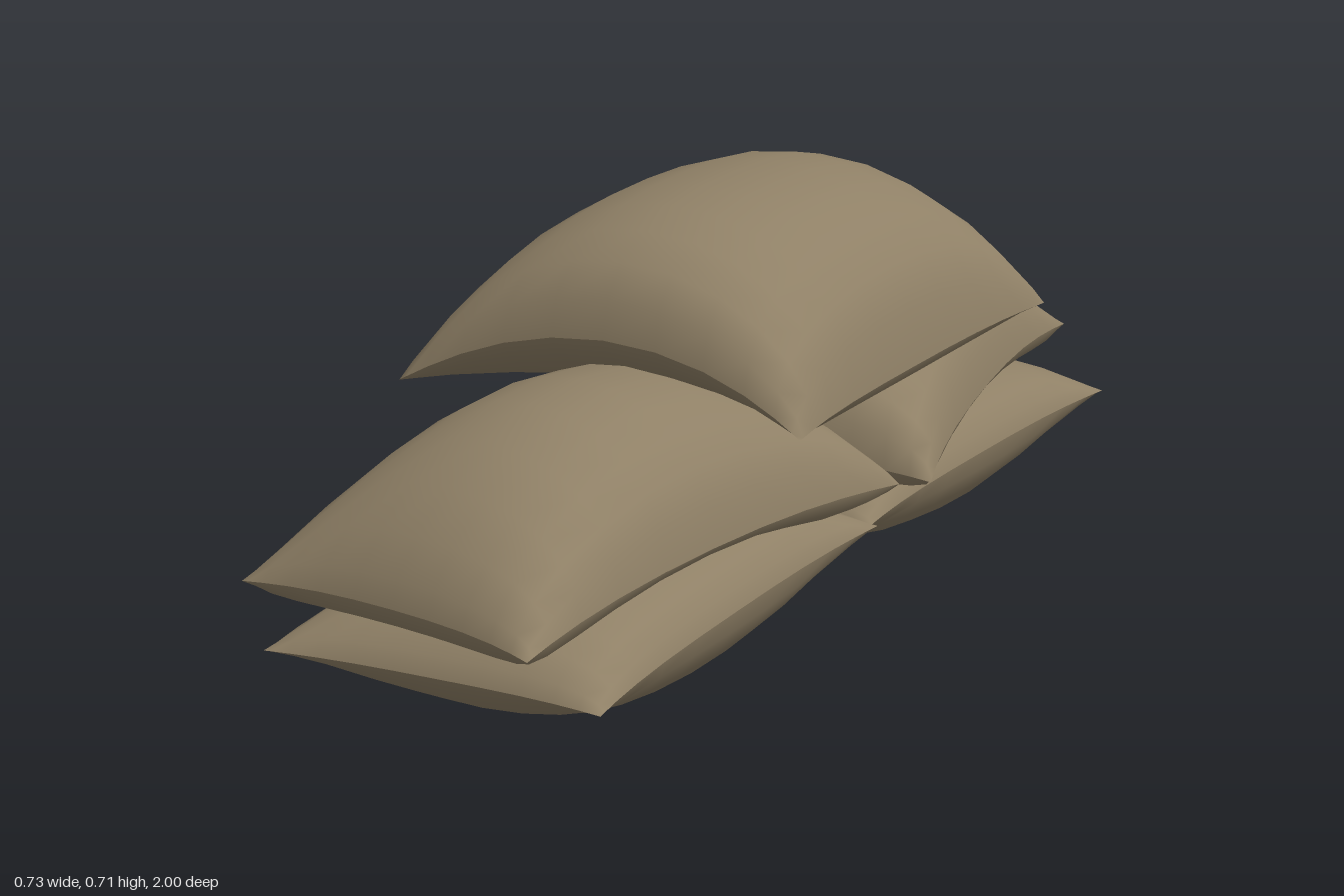
import * as THREE from 'three';

const N = 12; // grid divisions on each face of a bag

// One stuffed bag: two bulging sheets that meet in a thin seam.
// corners: [x, z] at back right, back left, front right, front left
// seam(u, v): height of the seam sheet; upper / lower: bulge above and below it
function bagGeometry({ corners: [a, b, c, d], pinch, seam, upper, lower }) {
  const pos = [], index = [];
  const mix = THREE.MathUtils.lerp;
  for (const side of [1, -1]) {
    const start = pos.length / 3;
    for (let j = 0; j <= N; j++) {
      for (let i = 0; i <= N; i++) {
        // rows crowd towards the seam, where the cloth curves most
        const u = Math.sin((i / N - 0.5) * Math.PI), v = Math.sin((j / N - 0.5) * Math.PI);
        // edges draw inwards between the flared corners
        const s = 0.5 + 0.5 * u * (1 - pinch[0] * (1 - Math.abs(v) ** 3));
        const t = 0.5 + 0.5 * v * (1 - pinch[1] * (1 - Math.abs(u) ** 3));
        const bulge = side > 0 ? upper(u, v) : -lower(u, v);
        pos.push(
          mix(mix(a[0], b[0], s), mix(c[0], d[0], s), t),
          seam(u, v) + bulge,
          mix(mix(a[1], b[1], s), mix(c[1], d[1], s), t)
        );
        if (i < N && j < N) {
          const p = start + j * (N + 1) + i, q = p + N + 1;
          if (side > 0) index.push(p, q, p + 1, p + 1, q, q + 1);
          else index.push(p, p + 1, q, p + 1, q + 1, q);
        }
      }
    }
  }
  const geometry = new THREE.BufferGeometry();
  geometry.setAttribute('position', new THREE.Float32BufferAttribute(pos, 3));
  geometry.setIndex(index);
  geometry.computeVertexNormals();
  return geometry;
}

// Falls from 1 in the middle to 0 at the edge; a smaller power gives steeper sides
const fall = (t, p, q) => Math.pow(Math.max(0, 1 - Math.pow(Math.abs(t), p)), q);

// Moves the middle of a -1..1 range to the given centre
const shift = (t, centre) => (t - centre) / (t > centre ? 1 - centre : 1 + centre);

export function createModel() {
  const group = new THREE.Group();
  const burlap = new THREE.MeshStandardMaterial({ color: 0x8f8066 });
  burlap.name = 'burlap';

  const addBag = (name, options) => {
    const mesh = new THREE.Mesh(bagGeometry(options), burlap);
    mesh.name = name;
    group.add(mesh);
  };

  // Bottom row: deep undersides sagging off-centre, flattened tops
  const bottomCorners = {
    bottomFrontBag: [[-0.27, 0.0], [0.27, -0.01], [-0.27, 0.92], [0.29, 0.94]],
    bottomBackBag: [[-0.26, -0.94], [0.295, -0.9], [-0.27, -0.01], [0.26, 0.0]],
  };
  for (const [name, corners] of Object.entries(bottomCorners)) {
    addBag(name, {
      corners,
      pinch: [0.08, 0.04],
      seam: () => 0.163,
      upper: (u, v) => 0.095 * fall(u, 3, 0.5) * fall(v, 4, 0.6),
      lower: (u, v) => 0.163 * fall(u, 2, 0.57) * fall(shift(v, -0.22), 2, 0.73),
    });
  }

  // Middle row: slightly turned, plump on top, steeper towards the centre,
  // undersides hanging over both ends of the bag below
  const middleCorners = {
    middleFrontBag: [[-0.2, -0.02], [0.32, 0.02], [-0.33, 0.88], [0.21, 1.0]],
    middleBackBag: [[-0.37, -0.91], [0.18, -1.0], [-0.2, 0.02], [0.36, -0.01]],
  };
  for (const [name, corners] of Object.entries(middleCorners)) {
    const outer = name === 'middleFrontBag' ? 1 : -1;
    addBag(name, {
      corners,
      pinch: [0.08, 0.05],
      seam: (u, v) => 0.247 + 0.025 * (1 - v * v) + 0.01 * (1 - u * u) * v * v,
      upper: (u, v) => 0.217 * fall(u, 2, 0.45) * fall(v, 2, v * outer > 0 ? 0.65 : 0.42),
      lower: (u, v) => 0.072 * fall(u, 4, 0.45) * fall(v, 6, 0.5) * (1 - 0.6 * (1 - v * v) ** 2),
    });
  }

  // Top bag: drapes over the two bags below, so its end seams arch upwards
  addBag('topBag', {
    corners: [[-0.325, -0.5], [0.36, -0.46], [-0.34, 0.42], [0.35, 0.44]],
    pinch: [0.07, 0.06],
    seam: (u, v) => 0.432 + 0.1 * v * v * (1 - u * u),
    upper: (u, v) => 0.274 * fall(u, 2, 0.41) * fall(v, 2.1, 0.54),
    lower: (u, v) => 0.045 * fall(u, 4, 0.45) * fall(v, 4, 0.5),
  });

  return group;
}
